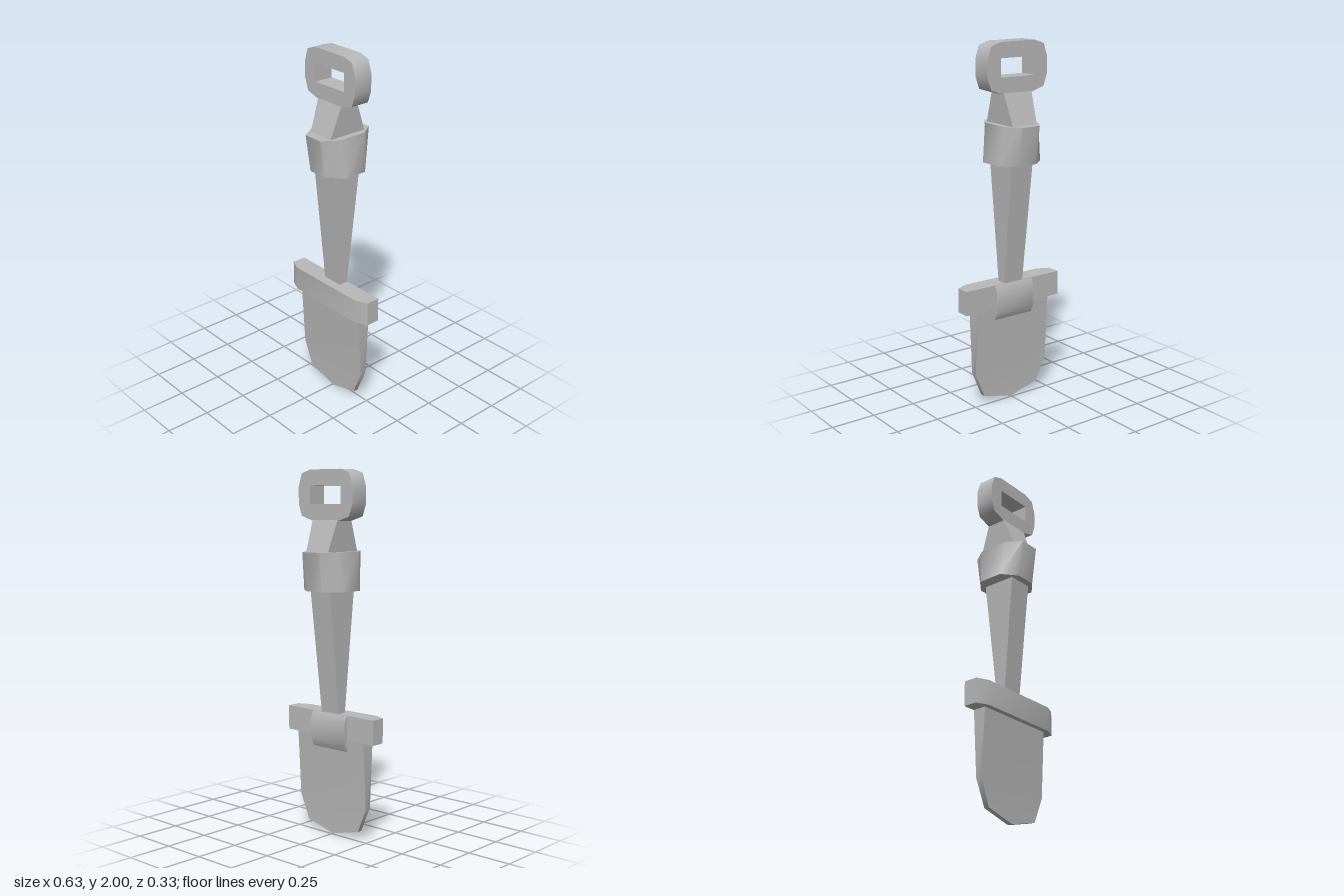
import * as THREE from 'three';
import { toCreasedNormals } from 'three/addons/utils/BufferGeometryUtils.js';

const CREASE = 0.95;

// Closed solid through horizontal convex sections, listed bottom to top:
// each is [y, [[x, z], ...]] running counter-clockwise seen from above.
function loft(sections) {
  const n = sections[0][1].length;
  const pos = [], idx = [];
  for (const [y, ring] of sections) for (const [x, z] of ring) pos.push(x, y, z);
  for (let s = 0; s < sections.length - 1; s++) {
    for (let i = 0; i < n; i++) {
      const j = (i + 1) % n, a = s * n, b = a + n;
      idx.push(a + i, a + j, b + j, a + i, b + j, b + i);
    }
  }
  const top = (sections.length - 1) * n;
  for (let i = 1; i < n - 1; i++) {
    idx.push(0, i + 1, i);
    idx.push(top, top + i, top + i + 1);
  }
  const g = new THREE.BufferGeometry();
  g.setAttribute('position', new THREE.Float32BufferAttribute(pos, 3));
  g.setIndex(idx);
  return toCreasedNormals(g, CREASE);
}

// Rectangular section: height, half width, front z, back z
const rect = (y, w, f, b) => [y, [[w, f], [w, b], [-w, b], [-w, f]]];

// Eight-sided section: half width and depth, with the lengths of the straight sides
const octagon = (y, w, d, flatX, flatZ) => [y, [
  [flatX, d], [w, flatZ], [w, -flatZ], [flatX, -d],
  [-flatX, -d], [-w, -flatZ], [-w, flatZ], [-flatX, d],
]];

export function createModel() {
  const group = new THREE.Group();
  const metal = new THREE.MeshStandardMaterial({ color: 0xb8b8b8 });
  metal.name = 'plain grey';
  const add = (name, geometry) => {
    const mesh = new THREE.Mesh(geometry, metal);
    mesh.name = name;
    group.add(mesh);
  };

  // Tapered blade with a blunt point
  add('blade', loft([
    rect(0.003, 0.002, 0.038, 0.01), rect(0.05, 0.183, 0.038, 0.01),
    rect(0.19, 0.242, 0.041, 0.006), rect(0.56, 0.242, 0.06, -0.015),
  ]));

  // Crossbar with chamfered front corners
  const bar = [[0.245, 0.09], [0.313, 0.06], [0.313, -0.017], [-0.313, -0.017], [-0.313, 0.06], [-0.245, 0.09]];
  add('crossbar', loft([[0.556, bar], [0.692, bar]]));

  // Rounded pad on the back of the crossbar
  add('backPad', loft([
    rect(0.49, 0.125, 0.01, -0.011), rect(0.535, 0.125, 0.01, -0.033),
    rect(0.65, 0.125, 0.01, -0.034), rect(0.69, 0.125, 0.01, -0.017),
  ]));

  // Shaft, widening upward
  add('shaft', loft([rect(0.68, 0.061, 0.037, -0.014), rect(1.37, 0.071, 0.099, -0.092)]));

  // Faceted collar: narrows sideways and deepens upward
  add('collar', loft([
    octagon(1.36, 0.138, 0.137, 0.058, 0.07),
    octagon(1.568, 0.113, 0.167, 0.058, 0.085),
  ]));

  // Neck between collar and grip
  add('neck', loft([rect(1.56, 0.078, 0.118, -0.118), rect(1.735, 0.09, 0.054, -0.054)]));

  // Grip with a rectangular slot
  const half = [[0.09, 1.73], [0.17, 1.755], [0.193, 1.82], [0.193, 1.91], [0.17, 1.98], [0.11, 2]];
  const mirrored = half.map(([x, y]) => [-x, y]).reverse();
  const vec = (list) => list.map(([x, y]) => new THREE.Vector2(x, y));
  const outline = new THREE.Shape(vec([...half, ...mirrored]));
  outline.holes.push(new THREE.Path(vec([[-0.109, 1.818], [-0.109, 1.917], [0.109, 1.917], [0.109, 1.818]])));
  const grip = new THREE.ExtrudeGeometry(outline, { depth: 0.108, bevelEnabled: false });
  grip.translate(0, 0, -0.054);
  add('grip', toCreasedNormals(grip, CREASE));

  return group;
}
